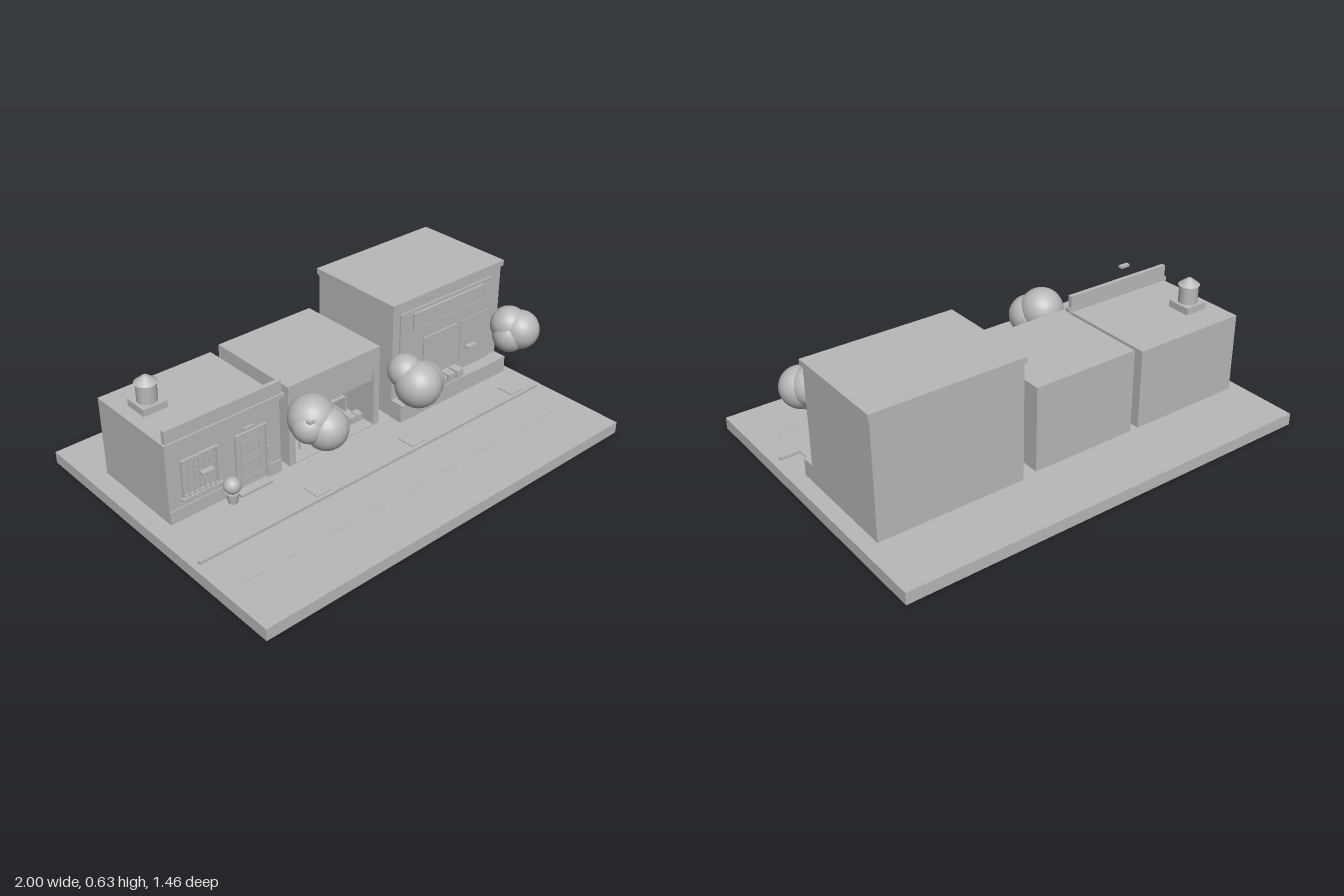
import * as THREE from 'three';

export function createModel() {
  const root = new THREE.Group();
  root.name = 'streetOfShops';
  const grey = new THREE.MeshStandardMaterial({ color: 0xb8b8b8 });
  grey.name = 'plain grey';

  const group = (name) => {
    const g = new THREE.Group();
    g.name = name;
    root.add(g);
    return g;
  };
  const add = (parent, name, geometry, x = 0, y = 0, z = 0) => {
    const mesh = new THREE.Mesh(geometry, grey);
    mesh.name = name;
    mesh.position.set(x, y, z);
    parent.add(mesh);
    return mesh;
  };
  // Box given by its extents on each axis
  const box = (parent, name, x0, x1, y0, y1, z0, z1) =>
    add(parent, name, new THREE.BoxGeometry(x1 - x0, y1 - y0, z1 - z0),
      (x0 + x1) / 2, (y0 + y1) / 2, (z0 + z1) / 2);
  // Four thin strips around an upright rectangle
  const frame = (parent, name, x0, x1, y0, y1, z0, z1, t = 0.008) => {
    box(parent, name, x0, x1, y1 - t, y1, z0, z1);
    box(parent, name, x0, x1, y0, y0 + t, z0, z1);
    box(parent, name, x0, x0 + t, y0 + t, y1 - t, z0, z1);
    box(parent, name, x1 - t, x1, y0 + t, y1 - t, z0, z1);
  };

  // Ground, kerb, road dashes
  const street = group('street');
  box(street, 'groundSlab', -1, 1, 0, 0.055, -0.73, 0.73);
  box(street, 'kerb', -0.97, 0.965, 0.056, 0.069, 0.28, 0.295);
  for (let i = 0; i < 9; i++) {
    const x = -0.9 + i * 0.21;
    box(street, 'roadDash', x, x + 0.09, 0.055, 0.057, 0.476, 0.484);
  }
  // Hanging street lamp heads
  for (const x of [-0.89, -0.385, 0.51])
    box(street, 'lampHead', x - 0.026, x + 0.026, 0.431, 0.443, 0.255, 0.278);

  // Trees: clusters of round crowns above square pits
  const trees = [
    [-0.34, [-0.335, 0.398, 0.2, 0.1], [-0.303, 0.36, 0.252, 0.092], [-0.37, 0.385, 0.225, 0.072]],
    [0.2, [0.2, 0.365, 0.262, 0.102], [0.242, 0.358, 0.25, 0.09], [0.18, 0.412, 0.2, 0.075]],
    [0.84, [0.856, 0.385, 0.25, 0.09], [0.832, 0.402, 0.204, 0.085], [0.817, 0.36, 0.225, 0.078]],
  ];
  for (const [pitX, ...crowns] of trees) {
    const tree = group('tree');
    box(tree, 'treePit', pitX - 0.04, pitX + 0.04, 0.07, 0.075, 0.195, 0.28);
    for (const [x, y, z, r] of crowns)
      add(tree, 'crown', new THREE.SphereGeometry(r, 24, 16), x, y, z);
  }

  // Left building with front parapet
  const house = group('parapetBuilding');
  box(house, 'walls', -0.925, -0.368, 0.07, 0.44, -0.43, 0.035);
  box(house, 'parapet', -0.928, -0.366, 0.455, 0.515, 0.03, 0.05);
  box(house, 'cornice', -0.937, -0.358, 0.437, 0.456, 0.028, 0.058);
  box(house, 'plinth', -0.925, -0.61, 0.07, 0.13, 0.035, 0.041);
  box(house, 'plinth', -0.435, -0.368, 0.07, 0.13, 0.035, 0.041);
  // Barred window
  box(house, 'windowPane', -0.855, -0.69, 0.175, 0.34, 0.035, 0.038);
  frame(house, 'windowFrame', -0.86, -0.685, 0.17, 0.345, 0.035, 0.046);
  box(house, 'windowSill', -0.87, -0.675, 0.162, 0.172, 0.035, 0.055);
  for (let i = 0; i < 6; i++) {
    const bar = add(house, 'windowBar', new THREE.CylinderGeometry(0.003, 0.003, 0.175, 8),
      -0.835 + i * 0.025, 0.258, 0.05);
    bar.castShadow = false;
  }
  // Door, name plate, handle and step
  box(house, 'door', -0.59, -0.45, 0.08, 0.335, 0.035, 0.04);
  frame(house, 'doorFrame', -0.6, -0.44, 0.075, 0.343, 0.035, 0.045);
  for (const y of [0.12, 0.22])
    frame(house, 'doorPanel', -0.575, -0.475, y, y + 0.085, 0.04, 0.043, 0.004);
  box(house, 'doorPlate', -0.555, -0.505, 0.35, 0.363, 0.035, 0.045);
  box(house, 'doorHandle', -0.443, -0.433, 0.205, 0.228, 0.035, 0.05);
  box(house, 'doorStep', -0.61, -0.45, 0.07, 0.082, 0.035, 0.082);
  // Potted shrub
  add(house, 'plantPot', new THREE.CylinderGeometry(0.028, 0.021, 0.046, 20), -0.652, 0.094, 0.078);
  add(house, 'shrub', new THREE.SphereGeometry(0.038, 20, 14), -0.652, 0.153, 0.078);
  // Roof tank
  box(house, 'tankBase', -0.866, -0.752, 0.44, 0.472, -0.3, -0.186);
  add(house, 'tank', new THREE.CylinderGeometry(0.043, 0.043, 0.085, 24), -0.809, 0.512, -0.243);
  add(house, 'tankLid', new THREE.CylinderGeometry(0.01, 0.049, 0.03, 24), -0.809, 0.569, -0.243);

  // Middle building: open shop
  const shop = group('openShop');
  box(shop, 'backBlock', -0.325, 0.185, 0.07, 0.46, -0.43, -0.2);
  box(shop, 'sideWall', -0.325, -0.292, 0.07, 0.46, -0.2, 0.04);
  box(shop, 'sideWall', 0.152, 0.185, 0.07, 0.46, -0.2, 0.04);
  box(shop, 'upperFront', -0.292, 0.152, 0.35, 0.46, -0.2, 0.04);
  box(shop, 'floor', -0.292, 0.152, 0.07, 0.075, -0.2, 0.04);
  box(shop, 'lintel', -0.292, 0.152, 0.3, 0.35, 0.005, 0.03);
  // Goods on shelves
  for (const [y, n] of [[0.155, 5], [0.215, 4], [0.285, 0]]) {
    box(shop, 'shelf', -0.14, 0.135, y - 0.006, y, -0.2, -0.12);
    for (let i = 0; i < n; i++) {
      const x = -0.125 + i * (0.25 / n), h = 0.034 + 0.01 * (i % 2);
      box(shop, 'goods', x, x + 0.042, y, y + h, -0.185, -0.135);
    }
  }
  for (const x of [-0.14, 0.13])
    box(shop, 'shelfPost', x, x + 0.006, 0.075, 0.29, -0.2, -0.12);
  // Small table and front crates
  box(shop, 'tableTop', -0.225, -0.12, 0.15, 0.158, -0.09, -0.02);
  for (const x of [-0.22, -0.132])
    for (const z of [-0.087, -0.03])
      box(shop, 'tableLeg', x, x + 0.007, 0.075, 0.15, z, z + 0.007);
  box(shop, 'tableBox', -0.205, -0.165, 0.158, 0.185, -0.075, -0.035);
  for (let i = 0; i < 3; i++)
    box(shop, 'crate', 0.035 + i * 0.038, 0.068 + i * 0.038, 0.075, 0.11, -0.06, -0.02);

  // Right building: tall shop front
  const tall = group('tallBuilding');
  box(tall, 'walls', 0.26, 0.94, 0.07, 0.605, -0.445, 0.04);
  box(tall, 'roofCap', 0.252, 0.948, 0.603, 0.63, -0.452, 0.05);
  box(tall, 'frontLedge', 0.255, 0.94, 0.07, 0.15, 0.04, 0.107);
  box(tall, 'frontPanel', 0.3, 0.88, 0.15, 0.57, 0.04, 0.048);
  box(tall, 'signBoard', 0.375, 0.81, 0.48, 0.55, 0.048, 0.057);
  frame(tall, 'signFrame', 0.37, 0.815, 0.475, 0.555, 0.048, 0.06, 0.005);
  box(tall, 'shopDoor', 0.44, 0.65, 0.15, 0.41, 0.048, 0.056);
  box(tall, 'shopWindow', 0.68, 0.86, 0.2, 0.41, 0.048, 0.053);
  // Row of planter cubes on a shelf
  box(tall, 'planterShelf', 0.255, 0.65, 0.15, 0.16, 0.045, 0.118);
  for (let i = 0; i < 7; i++) {
    const x = 0.282 + i * 0.054;
    box(tall, 'planter', x, x + 0.043, 0.16, 0.2, 0.057, 0.112);
  }
  return root;
}
